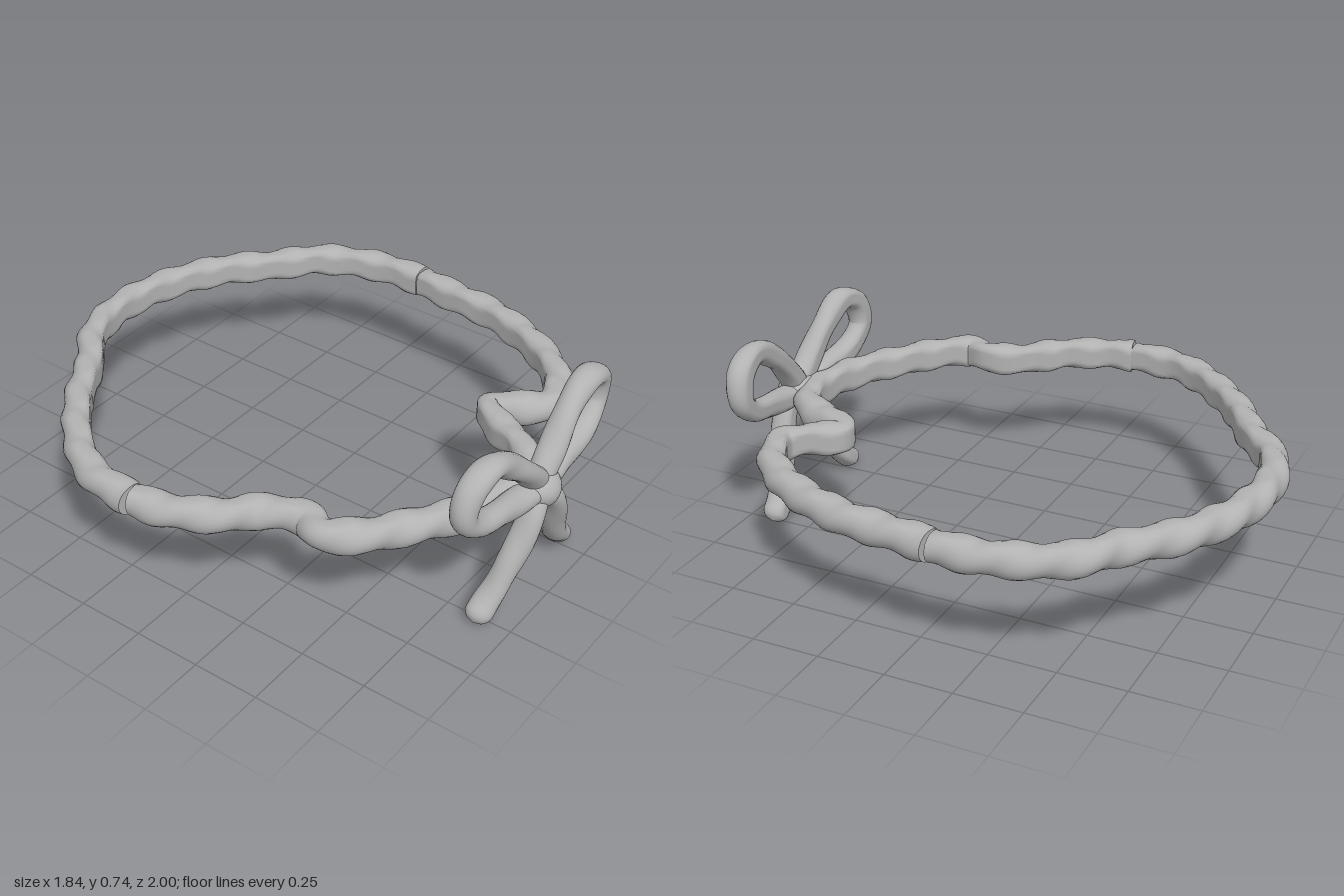
import * as THREE from 'three';

const UP = new THREE.Vector3(0, 1, 0);
const FRONT = new THREE.Vector3(0, 0, 1);

// Sweeps a section(distance, t, angle) -> [side, up] along a smooth path, with flat end caps.
function sweep(points, up, section, rings, sides) {
  const curve = new THREE.CatmullRomCurve3(points.map(p => new THREE.Vector3(...p)), false, 'centripetal');
  curve.arcLengthDivisions = 600;
  const length = curve.getLength();
  const pos = [], index = [], centres = [];
  for (let i = 0; i <= rings; i++) {
    const t = i / rings;
    const p = curve.getPointAt(t), dir = curve.getTangentAt(t);
    const side = dir.clone().cross(up).normalize();
    const top = side.clone().cross(dir);
    if (i === 0 || i === rings) centres.push(p);
    for (let j = 0; j < sides; j++) {
      const [u, v] = section(t * length, t, j / sides * Math.PI * 2);
      const q = p.clone().addScaledVector(side, u).addScaledVector(top, v);
      pos.push(q.x, q.y, q.z);
      if (i < rings) {
        const a = i * sides + j, b = i * sides + (j + 1) % sides;
        index.push(a, a + sides, b, b, a + sides, b + sides);
      }
    }
  }
  // Caps have their own vertices so their rims stay sharp
  centres.forEach((c, end) => {
    const first = pos.length / 3, from = end * rings * sides;
    for (let j = 0; j < sides; j++) pos.push(...pos.slice((from + j) * 3, (from + j) * 3 + 3));
    const mid = pos.length / 3;
    pos.push(c.x, c.y, c.z);
    for (let j = 0; j < sides; j++) {
      const a = first + j, b = first + (j + 1) % sides;
      index.push(mid, end ? b : a, end ? a : b);
    }
  });
  const geo = new THREE.BufferGeometry();
  geo.setAttribute('position', new THREE.Float32BufferAttribute(pos, 3));
  geo.setIndex(index);
  geo.computeVertexNormals();
  return geo;
}

// Twisted band section: level top and bottom, flattened on the inside
function bandSection(s, t, a) {
  const r = 0.057 * (1 + 0.1 * Math.cos(2 * a - 36 * s));
  const u = Math.min(r * Math.cos(a), 0.043);
  const v = THREE.MathUtils.clamp(r * 1.04 * Math.sin(a), -0.057, 0.057);
  return [u, v];
}

// Soft cord section with a gentle twist and a flattened back
function cordSection(radius, roundEnd) {
  return (s, t, a) => {
    const d = roundEnd ? Math.min(1, (1 - t) / 0.09) : 1;
    const taper = Math.sqrt(Math.max(0, 1 - (1 - d) ** 2));
    const r = radius * taper * (1 + 0.07 * Math.cos(2 * a - 22 * s));
    return [r * Math.cos(a), Math.max(r * 1.15 * Math.sin(a), -radius * 0.95)];
  };
}

export function createModel() {
  const model = new THREE.Group();
  const metal = new THREE.MeshStandardMaterial({ color: 0xb2b2b2 });
  metal.name = 'grey metal';
  const add = (name, geo) => {
    const mesh = new THREE.Mesh(geo, metal);
    mesh.name = name;
    model.add(mesh);
    return mesh;
  };

  // Band halves, as x and z points at one height, with a fine gap between them
  const level = list => list.map(([x, z]) => [x, 0.447, z]);
  const backPath = level([[-0.86, -0.116], [-0.855, -0.2], [-0.83, -0.32], [-0.74, -0.46], [-0.55, -0.64],
    [-0.35, -0.77], [-0.2, -0.89], [0, -0.943], [0.24, -0.91], [0.46, -0.8], [0.61, -0.66],
    [0.755, -0.54], [0.83, -0.39], [0.86, -0.25], [0.86, -0.116]]);
  const frontPath = level([[0.86, -0.106], [0.835, 0.08], [0.82, 0.22], [0.76, 0.4], [0.67, 0.56], [0.56, 0.67],
    [0.43, 0.715], [0.36, 0.66], [0.28, 0.56], [0.2, 0.65], [0.14, 0.77], [0.04, 0.84], [-0.1, 0.85],
    [-0.27, 0.8], [-0.43, 0.7], [-0.56, 0.6], [-0.63, 0.5], [-0.6, 0.41], [-0.645, 0.28],
    [-0.76, 0.16], [-0.84, 0], [-0.86, -0.106]]);
  add('backBand', sweep(backPath, UP, bandSection, 260, 24));
  add('frontBand', sweep(frontPath, UP, bandSection, 300, 24));

  // Bow loops
  const loops = {
    rightLoop: [[-0.01, 0.475, 0.92], [-0.06, 0.525, 0.92], [-0.18, 0.635, 0.915], [-0.32, 0.71, 0.91],
      [-0.405, 0.67, 0.9], [-0.43, 0.575, 0.895], [-0.36, 0.51, 0.9], [-0.23, 0.475, 0.91], [-0.01, 0.445, 0.92]],
    leftLoop: [[0.01, 0.475, 0.92], [0.06, 0.54, 0.92], [0.16, 0.645, 0.915], [0.3, 0.71, 0.91],
      [0.395, 0.665, 0.9], [0.41, 0.57, 0.895], [0.35, 0.51, 0.9], [0.23, 0.475, 0.91], [0.01, 0.445, 0.92]]
  };
  for (const [name, path] of Object.entries(loops)) add(name, sweep(path, FRONT, cordSection(0.043, false), 110, 20));

  // Bow tails with rounded tips
  const tails = {
    rightTail: [[-0.01, 0.44, 0.93], [-0.06, 0.38, 0.94], [-0.13, 0.25, 0.925], [-0.19, 0.14, 0.9],
      [-0.24, 0.08, 0.885], [-0.3, 0.03, 0.88]],
    leftTail: [[0.01, 0.44, 0.93], [0.065, 0.38, 0.94], [0.125, 0.25, 0.925], [0.19, 0.13, 0.9],
      [0.235, 0.08, 0.885], [0.29, 0.03, 0.88]]
  };
  for (const [name, path] of Object.entries(tails)) add(name, sweep(path, FRONT, cordSection(0.042, true), 60, 20));

  // Knot: a ball narrowed towards the bottom
  const ball = new THREE.SphereGeometry(1, 32, 24);
  const p = ball.attributes.position;
  for (let i = 0; i < p.count; i++) p.setX(i, p.getX(i) * (1 + 0.22 * p.getY(i)));
  ball.scale(0.084, 0.072, 0.085);
  ball.computeVertexNormals();
  add('knot', ball).position.set(0, 0.442, 0.915);

  return model;
}
